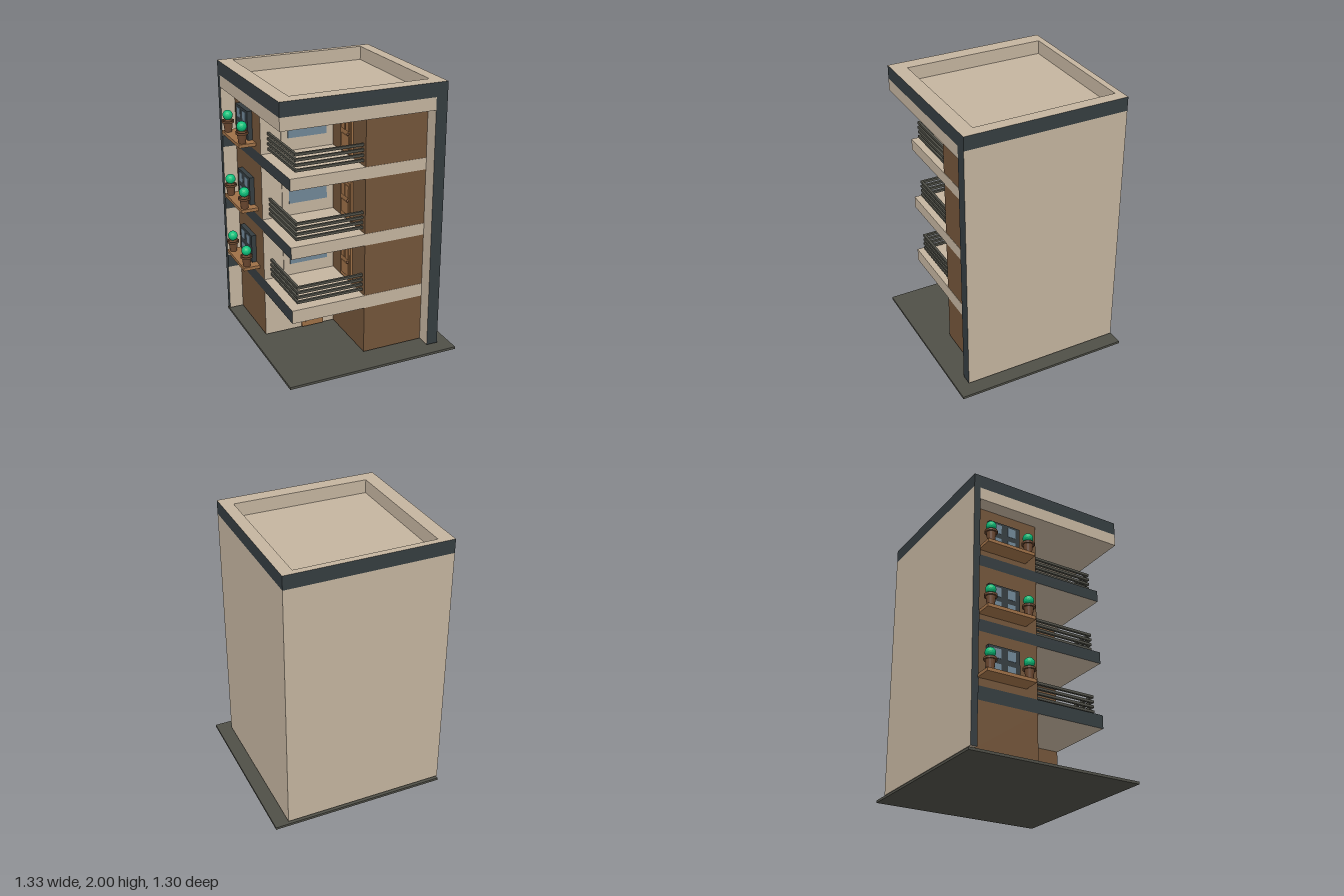
import * as THREE from 'three';

const mat = (name, color) => {
  const m = new THREE.MeshStandardMaterial({ color });
  m.name = name;
  return m;
};

export function createModel() {
  const beige = mat('beigePlaster', 0xc4b49f);
  const slate = mat('slateTrim', 0x353d40);
  const brown = mat('brownCladding', 0x73553a);
  const wood = mat('wood', 0x9e7047);
  const glass = mat('glass', 0x708797);
  const grey = mat('darkGrey', 0x4f4f47);
  const clay = mat('clay', 0x6a472f);
  const leaf = mat('leaf', 0x0cc07a);
  leaf.flatShading = true;

  const model = new THREE.Group();
  model.name = 'apartmentBuilding';

  // Box given by its limits; faces lists the materials that differ from the base one
  const sides = ['right', 'left', 'top', 'bottom', 'front', 'back'];
  function box(name, [x0, x1], [y0, y1], [z0, z1], base, faces, parent = model) {
    const geometry = new THREE.BoxGeometry(x1 - x0, y1 - y0, z1 - z0);
    const material = faces ? sides.map((s) => faces[s] || base) : base;
    const mesh = new THREE.Mesh(geometry, material);
    mesh.position.set((x0 + x1) / 2, (y0 + y1) / 2, (z0 + z1) / 2);
    mesh.name = name;
    parent.add(mesh);
    return mesh;
  }

  // Panelled door, standing on its own origin and facing +z
  function makeDoor(name) {
    const door = new THREE.Group();
    door.name = name;
    box('doorLeaf', [-0.085, 0.085], [0, 0.295], [0, 0.016], wood, null, door);
    box('doorInset', [-0.07, 0.07], [0.015, 0.275], [0.016, 0.019], wood, null, door);
    box('lowerPanel', [-0.058, 0.058], [0.035, 0.13], [0.019, 0.024], wood, null, door);
    for (const s of [-1, 1]) {
      box('upperPanel', [s * 0.032 - 0.026, s * 0.032 + 0.026], [0.165, 0.255], [0.019, 0.024], wood, null, door);
    }
    const knob = new THREE.Mesh(new THREE.SphereGeometry(0.01, 12, 8), clay);
    knob.name = 'doorKnob';
    knob.position.set(0.054, 0.147, 0.027);
    door.add(knob);
    return door;
  }

  // Potted plant, standing on its own origin
  const potProfile = [[0, 0], [0.026, 0], [0.034, 0.068], [0.045, 0.068], [0.045, 0.084], [0.036, 0.084], [0.034, 0.074], [0, 0.074]]
    .map(([x, y]) => new THREE.Vector2(x, y));
  function makePlant() {
    const plant = new THREE.Group();
    plant.name = 'pottedPlant';
    const potGeometry = new THREE.LatheGeometry(potProfile, 16).toNonIndexed();
    potGeometry.computeVertexNormals();
    const pot = new THREE.Mesh(potGeometry, clay);
    pot.name = 'pot';
    const bush = new THREE.Mesh(new THREE.IcosahedronGeometry(0.037, 2), leaf);
    bush.name = 'bush';
    bush.position.y = 0.122;
    plant.add(pot, bush);
    return plant;
  }

  // Ground plate and the two full-height outer walls
  box('groundPlate', [-0.635, 0.665], [0, 0.018], [-0.65, 0.648], grey);
  box('backWall', [-0.635, 0.565], [0.03, 1.9], [-0.637, -0.59], beige, { left: slate });
  box('rightWall', [0.48, 0.565], [0.03, 1.9], [-0.59, 0.555], beige, { front: slate });

  // Roof slab and parapet around the sunken roof
  box('roofSlab', [-0.635, 0.48], [1.81, 1.9], [-0.59, 0.555], beige);
  const ends = { left: slate, right: slate };
  box('parapetFront', [-0.635, 0.565], [1.9, 2], [0.45, 0.555], beige, { ...ends, front: slate });
  box('parapetBack', [-0.635, 0.565], [1.9, 2], [-0.637, -0.59], beige, { ...ends, back: slate });
  box('parapetLeft', [-0.635, -0.53], [1.9, 2], [-0.59, 0.45], beige, { left: slate });
  box('parapetRight', [0.48, 0.565], [1.9, 2], [-0.59, 0.45], beige, { right: slate });

  // Storeys: recessed rooms and the brown front bay between the slabs
  for (const y of [[0.03, 0.385], [0.483, 0.87], [0.957, 1.36], [1.445, 1.81]]) {
    box('rooms', [-0.53, 0.48], y, [-0.59, -0.08], beige, { left: brown });
    box('frontBay', [0.018, 0.48], y, [-0.08, 0.448], brown);
  }

  // Ground floor door
  const entrance = makeDoor('entranceDoor');
  entrance.position.set(-0.16, 0.035, -0.08);
  model.add(entrance);

  // Balcony floors
  const floors = [
    { slab: [0.385, 0.483], pane: [0.575, 0.78], frameTop: 0.82, shelf: 0.538, sideTop: 0.775 },
    { slab: [0.87, 0.957], pane: [1.05, 1.275], frameTop: 1.313, shelf: 0.994, sideTop: 1.225 },
    { slab: [1.36, 1.445], pane: [1.54, 1.72], frameTop: 1.76, shelf: 1.482, sideTop: 1.717 },
  ];
  for (const { slab, pane, frameTop, shelf, sideTop } of floors) {
    const top = slab[1];
    box('balconySlab', [-0.53, 0.48], slab, [-0.59, 0.45], beige, { left: slate });
    box('backWallBand', [-0.635, -0.53], slab, [-0.59, -0.586], slate);

    // Railing bars along the front and the left side
    for (let i = 0; i < 4; i++) {
      const y = top + 0.028 + i * 0.037;
      box('frontRail', [-0.48, 0.018], [y, y + 0.018], [0.4, 0.418], grey);
      box('sideRail', [-0.48, -0.462], [y, y + 0.018], [-0.08, 0.4], grey);
    }

    // Front window and the balcony door in the side of the bay
    box('windowFrame', [-0.38, 0], [pane[0] - 0.04, frameTop], [-0.08, -0.072], beige);
    box('windowGlass', [-0.33, -0.037], pane, [-0.072, -0.067], glass);
    const door = makeDoor('balconyDoor');
    door.rotation.y = -Math.PI / 2;
    door.position.set(0.018, top + 0.02, 0.17);
    model.add(door);

    // Side window with four panes, and the plant shelf below it
    const sill = shelf + 0.024;
    box('sideWindowFrame', [-0.565, -0.53], [sill, sideTop], [-0.475, -0.235], slate);
    const half = (sideTop - sill) / 2;
    for (const z of [-0.41, -0.3]) {
      for (const k of [0, 1]) {
        const y = sill + half * (k + 0.5);
        box('sidePane', [-0.568, -0.565], [y - 0.034, y + 0.034], [z - 0.03, z + 0.03], glass);
      }
    }
    box('plantShelf', [-0.655, -0.53], [shelf, sill], [-0.535, -0.165], wood);
    for (const z of [-0.495, -0.2]) {
      const plant = makePlant();
      plant.position.set(-0.62, sill, z);
      model.add(plant);
    }
  }
  return model;
}
